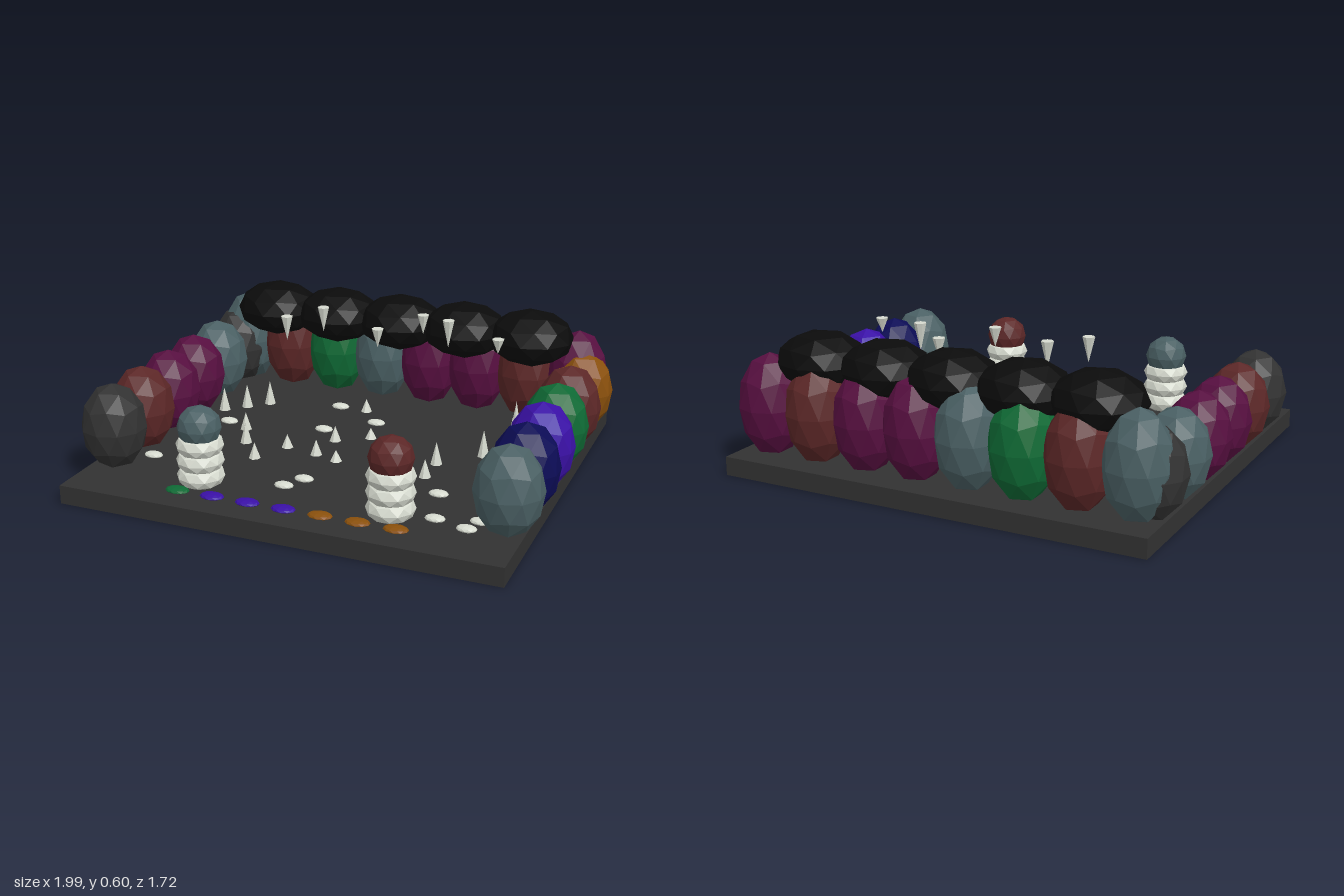
import * as THREE from 'three';

const mat = (name, color) => {
  const m = new THREE.MeshStandardMaterial({ color, flatShading: true });
  m.name = name;
  return m;
};

export function createModel() {
  const group = new THREE.Group();
  const charcoal = mat('charcoal', 0x323232);
  const black = mat('black', 0x0b0b0b);
  const brown = mat('redBrown', 0x5c2727);
  const plum = mat('plum', 0x570f40);
  const green = mat('green', 0x0f6a35);
  const violet = mat('violet', 0x3a10a6);
  const navy = mat('navy', 0x0c0c56);
  const ochre = mat('ochre', 0x8a500c);
  const slate = mat('slate', 0x4a6064);
  const bone = mat('bone', 0xd6dacf);

  // Shared faceted boulder, with one vertex pointing straight up
  const rockGeo = new THREE.IcosahedronGeometry(1, 1);
  rockGeo.rotateZ(Math.atan(2 / (1 + Math.sqrt(5))));
  const spikeGeo = new THREE.ConeGeometry(1, 1, 7);

  const add = (name, geo, material, pos, scale) => {
    const mesh = new THREE.Mesh(geo, material);
    mesh.name = name;
    mesh.position.set(...pos);
    mesh.scale.set(...scale);
    group.add(mesh);
    return mesh;
  };
  const rock = (name, material, pos, scale) => add(name, rockGeo, material, pos, scale);

  // Floor slab
  add('floor', new THREE.BoxGeometry(1, 1, 1), charcoal, [0, 0.04, 0], [1.88, 0.08, 1.72]);

  // Side walls, front to back
  const sides = [
    [-1, [charcoal, brown, plum, plum, slate, charcoal]],
    [1, [slate, navy, violet, green, brown, ochre]],
  ];
  for (const [side, colours] of sides) {
    colours.forEach((c, i) =>
      rock('sideBoulder', c, [side * 0.86, 0.24, 0.55 - i * 0.236], [0.14, 0.19, 0.14]));
  }

  // Back wall, from -x to +x
  [slate, brown, green, slate, plum, plum, brown, plum].forEach((c, i) =>
    rock('backBoulder', c, [(i - 3.5) * 0.236, 0.275, -0.68], [0.14, 0.225, 0.14]));

  // Dark overhanging roof
  for (let i = -2; i <= 2; i++) {
    rock('roofBoulder', black, [i * 0.313, 0.47, -0.59], [0.195, 0.125, 0.18]);
  }

  // Entrance pillars: three pale stones under a coloured cap
  for (const [x, cap] of [[-0.415, slate], [0.412, brown]]) {
    for (let i = 0; i < 3; i++) {
      rock('pillarStone', bone, [x, 0.12 + i * 0.067, 0.62], [0.1, 0.058, 0.1]);
    }
    rock('pillarCap', cap, [x, 0.33, 0.62], [0.092, 0.09, 0.092]);
  }

  // Row of coloured threshold pebbles
  [green, violet, violet, violet, ochre, ochre, ochre].forEach((c, i) =>
    rock('thresholdPebble', c, [(i - 3) * 0.157, 0.082, 0.72], [0.052, 0.015, 0.036]));

  // Pale pebbles scattered over the floor
  const pebbles = [
    [-0.22, -0.39], [0.01, -0.26], [-0.18, -0.1], [-0.62, -0.03], [0.16, 0],
    [0.28, 0.18], [0.52, 0.36], [-0.04, 0.43], [-0.09, 0.52], [-0.74, 0.445],
    [0.58, 0.58], [0.72, 0.62], [0.75, 0.54], [0.72, -0.33],
  ];
  for (const [x, z] of pebbles) rock('pebble', bone, [x, 0.085, z], [0.042, 0.015, 0.029]);

  // Stalagmites: x, z, height
  const stalagmites = [
    [-0.55, -0.315, 0.11], [-0.63, -0.235, 0.11], [-0.51, 0.02, 0.08], [-0.44, 0.16, 0.1],
    [-0.25, 0.14, 0.06], [-0.1, 0.17, 0.07], [0.005, 0.2, 0.05], [-0.085, -0.005, 0.07],
    [0.05, -0.09, 0.05], [-0.09, -0.39, 0.06], [-0.33, 0.3, 0.07], [0.41, 0.07, 0.1],
    [0.41, 0.215, 0.08], [0.57, -0.085, 0.12], [0.65, -0.245, 0.13], [0.69, -0.115, 0.1],
    [0.7, 0.155, 0.09], [0.625, -0.395, 0.15], [-0.71, -0.16, 0.11],
  ];
  for (const [x, z, h] of stalagmites) {
    add('stalagmite', spikeGeo, bone, [x, 0.08 + h / 2, z], [0.026, h, 0.026]);
  }

  // Hanging stalactites: x, z, top height, length
  const stalactites = [
    [-0.37, -0.134, 0.583, 0.11], [-0.265, -0.3, 0.59, 0.115], [0.06, -0.14, 0.575, 0.085],
    [0.176, -0.406, 0.575, 0.09], [0.33, -0.3, 0.598, 0.125], [0.583, -0.205, 0.572, 0.065],
  ];
  for (const [x, z, top, h] of stalactites) {
    add('stalactite', spikeGeo, bone, [x, top - h / 2, z], [0.027, h, 0.027]).rotation.x = Math.PI;
  }

  return group;
}
